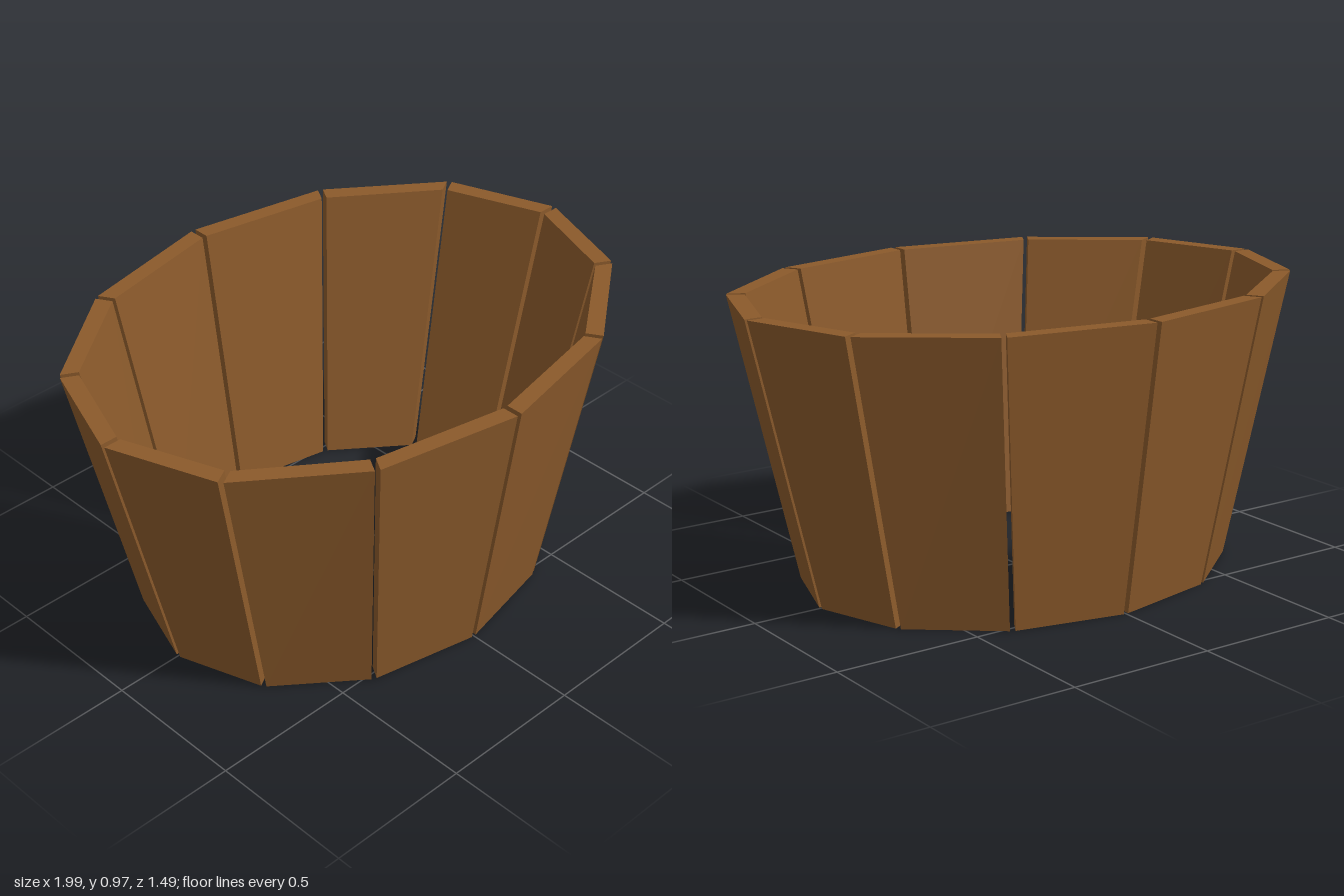
import * as THREE from 'three';

const COUNT = 12;
const HEIGHT = 0.97;
const GAP = 0.009; // inset at each side of a stave

// Half-widths [x, z] of the oval rings
const OUTER = { bottom: [0.765, 0.605], top: [1.0, 0.748] };
const INNER = { bottom: [0.71, 0.552], top: [0.94, 0.69] };

// One flat board: a box whose corners are moved onto the four ovals
function staveGeometry(index) {
  const geometry = new THREE.BoxGeometry(1, 1, 1);
  const pos = geometry.attributes.position;
  const step = (Math.PI * 2) / COUNT;
  for (let i = 0; i < pos.count; i++) {
    const ring = pos.getZ(i) > 0 ? OUTER : INNER;
    const [rx, rz] = pos.getY(i) > 0 ? ring.top : ring.bottom;
    const corner = (k) => new THREE.Vector3(rx * Math.sin(k * step), 0, rz * Math.cos(k * step));
    const right = pos.getX(i) > 0;
    const here = corner(right ? index + 1 : index);
    const other = corner(right ? index : index + 1);
    const inset = other.sub(here).setLength(GAP);
    here.add(inset);
    pos.setXYZ(i, here.x, pos.getY(i) > 0 ? HEIGHT : 0, here.z);
  }
  geometry.computeVertexNormals();
  return geometry;
}

export function createModel() {
  const wood = new THREE.MeshStandardMaterial({ color: 0x8b5a2b, flatShading: true });
  wood.name = 'wood';

  const tub = new THREE.Group();
  tub.name = 'openTub';
  // Ring of leaning staves
  for (let i = 0; i < COUNT; i++) {
    const stave = new THREE.Mesh(staveGeometry(i), wood);
    stave.name = `stave${i + 1}`;
    tub.add(stave);
  }
  return tub;
}
